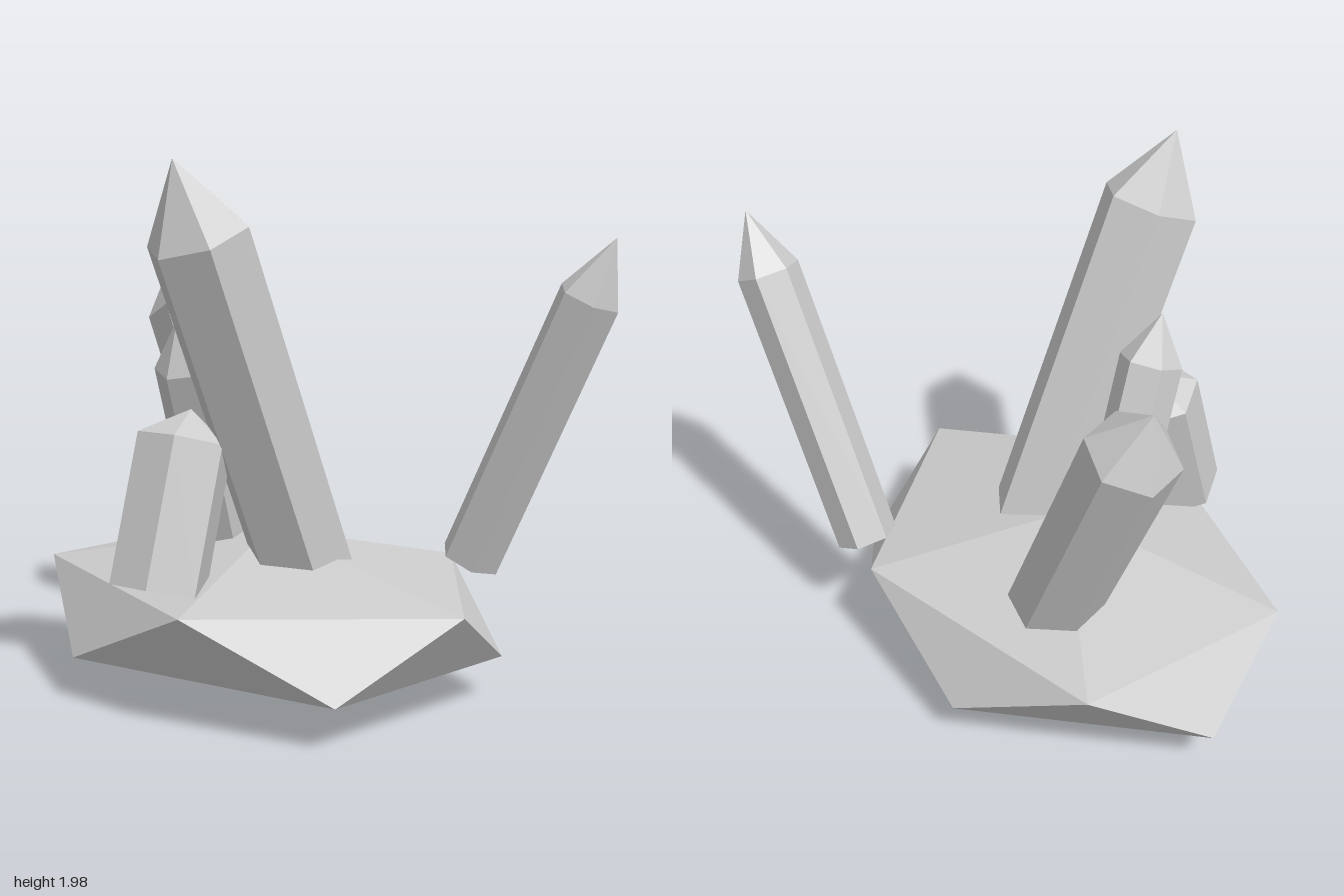
import * as THREE from 'three';
import { ConvexGeometry } from 'three/addons/geometries/ConvexGeometry.js';

const stone = new THREE.MeshStandardMaterial({ color: 0xcccccc, flatShading: true });
stone.name = 'pale grey stone';

// Flattened twenty-sided rock: two poles and two staggered rings of five
function createRock() {
  const cx = -0.03, cz = 0.05;
  const points = [new THREE.Vector3(cx, 0, cz), new THREE.Vector3(cx, 0.59, cz)];
  for (let i = 0; i < 5; i++) {
    const a = (i / 5) * Math.PI * 2;
    const dx = 0.97 * Math.cos(a), dz = 0.75 * Math.sin(a);
    points.push(new THREE.Vector3(cx + dx, 0.427, cz + dz));
    points.push(new THREE.Vector3(cx - dx, 0.163, cz - dz));
  }
  const rock = new THREE.Mesh(new ConvexGeometry(points), stone);
  rock.name = 'baseRock';
  return rock;
}

// Six-sided crystal from the foot centre to the shoulder centre, with a pointed tip
function createCrystal({ name, foot, shoulder, radius, tip, twist }) {
  const start = new THREE.Vector3(...foot);
  const axis = new THREE.Vector3(...shoulder).sub(start);
  const length = axis.length();
  const profile = [
    [0, 0], [radius, 0], [radius, length], [0, length + tip],
  ].map(([r, y]) => new THREE.Vector2(r, y));
  const phi = THREE.MathUtils.degToRad(30 - twist);
  const crystal = new THREE.Mesh(new THREE.LatheGeometry(profile, 6, phi), stone);
  crystal.name = name;
  crystal.position.copy(start);
  crystal.quaternion.setFromUnitVectors(new THREE.Vector3(0, 1, 0), axis.normalize());
  return crystal;
}

const crystals = [
  { name: 'tallCrystal', foot: [0.168, 0.42, 0.035], shoulder: [0.168, 1.715, 0.572], radius: 0.19, tip: 0.286, twist: 30 },
  { name: 'rightLeaningCrystal', foot: [-0.313, 0.42, -0.207], shoulder: [-0.74, 1.39, -0.167], radius: 0.175, tip: 0.22, twist: 12 },
  { name: 'leftLeaningCrystal', foot: [0.435, 0.445, -0.585], shoulder: [0.89, 1.48, -0.688], radius: 0.12, tip: 0.241, twist: 45 },
  { name: 'slimCrystal', foot: [-0.244, 0.42, 0.068], shoulder: [-0.13, 1.235, 0.37], radius: 0.122, tip: 0.188, twist: 20 },
  { name: 'shortFrontCrystal', foot: [0.02, 0.455, 0.645], shoulder: [-0.01, 0.98, 0.483], radius: 0.18, tip: 0.116, twist: -6 },
];

export function createModel() {
  const model = new THREE.Group();
  model.name = 'crystalCluster';
  model.add(createRock(), ...crystals.map(createCrystal));
  return model;
}
